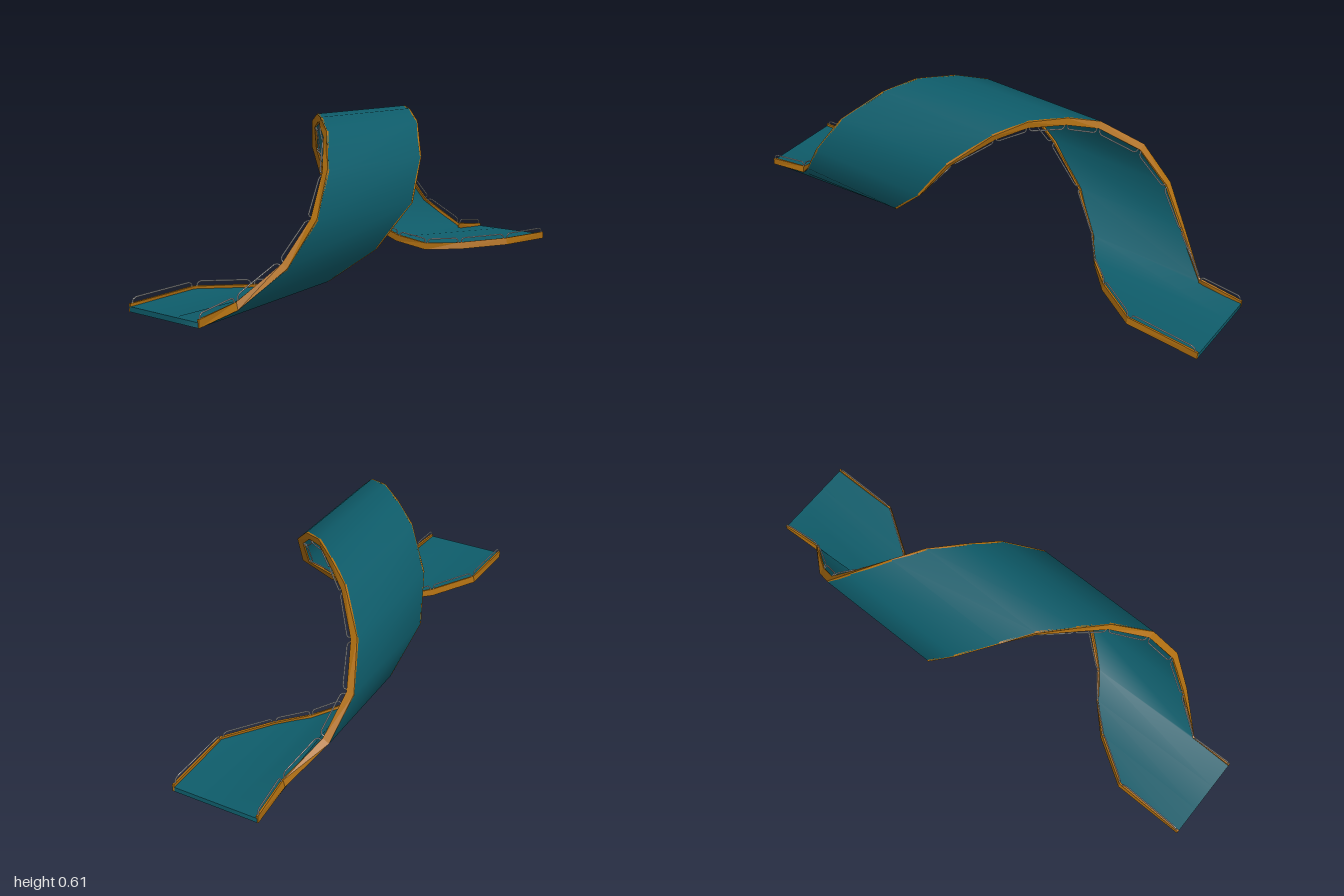
import * as THREE from 'three';
import { mergeVertices } from 'three/addons/utils/BufferGeometryUtils.js';

const R = 0.305; // radius of the corkscrew, also the height of its axis
const V = (x, y, z) => new THREE.Vector3(x, y, z);
const teal = new THREE.MeshStandardMaterial({ color: 0x0e5c6a, side: THREE.DoubleSide });
const orange = new THREE.MeshStandardMaterial({ color: 0xb06f10, flatShading: true, side: THREE.DoubleSide });
const grey = new THREE.MeshStandardMaterial({ color: 0xcccccc });

// Angle from the bottom, and where the left edge crosses that generator
const ANGLES = [30, 60, 90, 120, 150, 170, 190, 210, 240, 270, 300, 330, 350, 370, 390];
const EDGE_Z = [0.83, 0.7, 0.6, 0.5, 0.38, 0.3, 0.2, 0.12, 0, -0.1, -0.25, -0.38, -0.45, -0.55, -0.72];

// A point on the outer skin with its inward direction
const end = (x, z) => ({ p: V(x, 0, z), n: V(0, 1, 0) });
function onCylinder(deg, z) {
  const a = THREE.MathUtils.degToRad(deg);
  return { p: V(R * Math.sin(a), R - R * Math.cos(a), z), n: V(-Math.sin(a), Math.cos(a), 0) };
}
const turned = ({ p, n }) => ({ p: V(-p.x, p.y, -p.z), n: V(-n.x, n.y, -n.z) });
const raise = ({ p, n }, h) => p.clone().addScaledVector(n, h);

// Left edge, and the right edge as its half turn about the vertical axis
const a = ANGLES.map((deg, i) => onCylinder(deg, EDGE_Z[i]));
a[0] = { p: V(0.165, 0.025, 0.83), n: V(-0.25, 0.97, 0) };
a[14] = { p: V(0.165, 0.012, -0.72), n: V(-0.15, 0.99, 0) };
const b = a.map(turned).reverse();
const leftEdge = [end(0.165, 1), ...a, end(0.165, -1)];
const rightEdge = [end(-0.165, 1), ...b, end(-0.165, -1)];

function geometry(points, index) {
  const g = new THREE.BufferGeometry().setFromPoints(points);
  g.setIndex(index);
  return g;
}

// Strip of quads between two equally long rows of points
function strip(rowA, rowB, flip = false) {
  const pts = [], idx = [];
  rowA.forEach((p, i) => {
    pts.push(p, rowB[i]);
    if (i === rowA.length - 1) return;
    const k = 2 * i;
    const tris = [[k, k + 1, k + 3], [k, k + 3, k + 2]];
    for (const t of tris) {
      idx.push(...(flip ? t.reverse() : t));
    }
  });
  const g = mergeVertices(geometry(pts, idx), 1e-5);
  g.computeVertexNormals();
  return g;
}

function add(group, name, geo, mat) {
  const mesh = new THREE.Mesh(geo, mat);
  mesh.name = name;
  group.add(mesh);
}

// Deck made of straight generators parallel to the axis
function makeDeck() {
  const group = new THREE.Group();
  group.name = 'deck';
  const nearEnd = [-0.165, -0.055, 0.055, 0.165].map(x => end(x, 1));
  const farEnd = [-0.165, -0.055, 0.055, 0.165].map(x => end(x, -1));
  const left = [...nearEnd, ...a.slice(0, 12), ...a.slice(11)];
  const right = [...b.slice(0, 4), ...b.slice(3), ...farEnd];
  const skin = (row, h) => row.map(q => raise(q, h));
  const T = 0.018;
  add(group, 'deckUnderside', strip(skin(left, 0), skin(right, 0)), teal);
  add(group, 'deckSurface', strip(skin(left, T), skin(right, T), true), teal);
  add(group, 'deckLeftRim', strip(skin(left, 0), skin(left, T), true), teal);
  add(group, 'deckRightRim', strip(skin(right, 0), skin(right, T)), teal);
  add(group, 'frontEdge', strip(skin(nearEnd, 0), skin(nearEnd, T), true), teal);
  add(group, 'backEdge', strip(skin(farEnd, 0), skin(farEnd, T)), teal);
  return group;
}

// Curb: rectangular section swept along an edge
function makeCurb(edge, side) {
  const pts = [], idx = [], N = edge.length;
  const section = [[-0.004, 0], [0.004, 0], [0.004, 0.028], [-0.004, 0.028]];
  edge.forEach((q, i) => {
    const t = edge[Math.min(i + 1, N - 1)].p.clone().sub(edge[Math.max(i - 1, 0)].p);
    const s = t.cross(q.n).normalize().multiplyScalar(side);
    if (i === 0 || i === N - 1) s.set(side, 0, 0);
    for (const [w, h] of section) pts.push(raise(q, h).addScaledVector(s, w));
    if (i < N - 1) {
      for (let j = 0; j < 4; j++) {
        const k = 4 * i + j, m = 4 * i + (j + 1) % 4;
        idx.push(k, m, m + 4, k, m + 4, k + 4);
      }
    }
  });
  const e = 4 * (N - 1);
  idx.push(0, 2, 1, 0, 3, 2, e, e + 1, e + 2, e, e + 2, e + 3);
  if (side < 0) idx.reverse();
  const g = geometry(pts, idx).toNonIndexed();
  g.computeVertexNormals();
  return g;
}

// Handrails: one bent wire loop for each straight stretch of the edge
function makeRails(edge, name) {
  const group = new THREE.Group();
  group.name = name;
  for (let i = 0; i < edge.length - 1; i++) {
    const at = (f, h) => raise(edge[i], h).lerp(raise(edge[i + 1], h), f);
    const knots = [at(0.04, 0.026), at(0.05, 0.039), at(0.1, 0.045),
      at(0.9, 0.045), at(0.95, 0.039), at(0.96, 0.026)];
    const path = new THREE.CurvePath();
    for (let k = 0; k < knots.length - 1; k++) path.add(new THREE.LineCurve3(knots[k], knots[k + 1]));
    add(group, 'handrail', new THREE.TubeGeometry(path, 40, 0.0025, 6), grey);
  }
  return group;
}

export function createModel() {
  const model = new THREE.Group();
  model.name = 'corkscrewTrack';
  model.add(makeDeck());
  add(model, 'leftCurb', makeCurb(leftEdge, 1), orange);
  add(model, 'rightCurb', makeCurb(rightEdge, -1), orange);
  model.add(makeRails(leftEdge, 'leftHandrails'), makeRails(rightEdge, 'rightHandrails'));
  return model;
}
